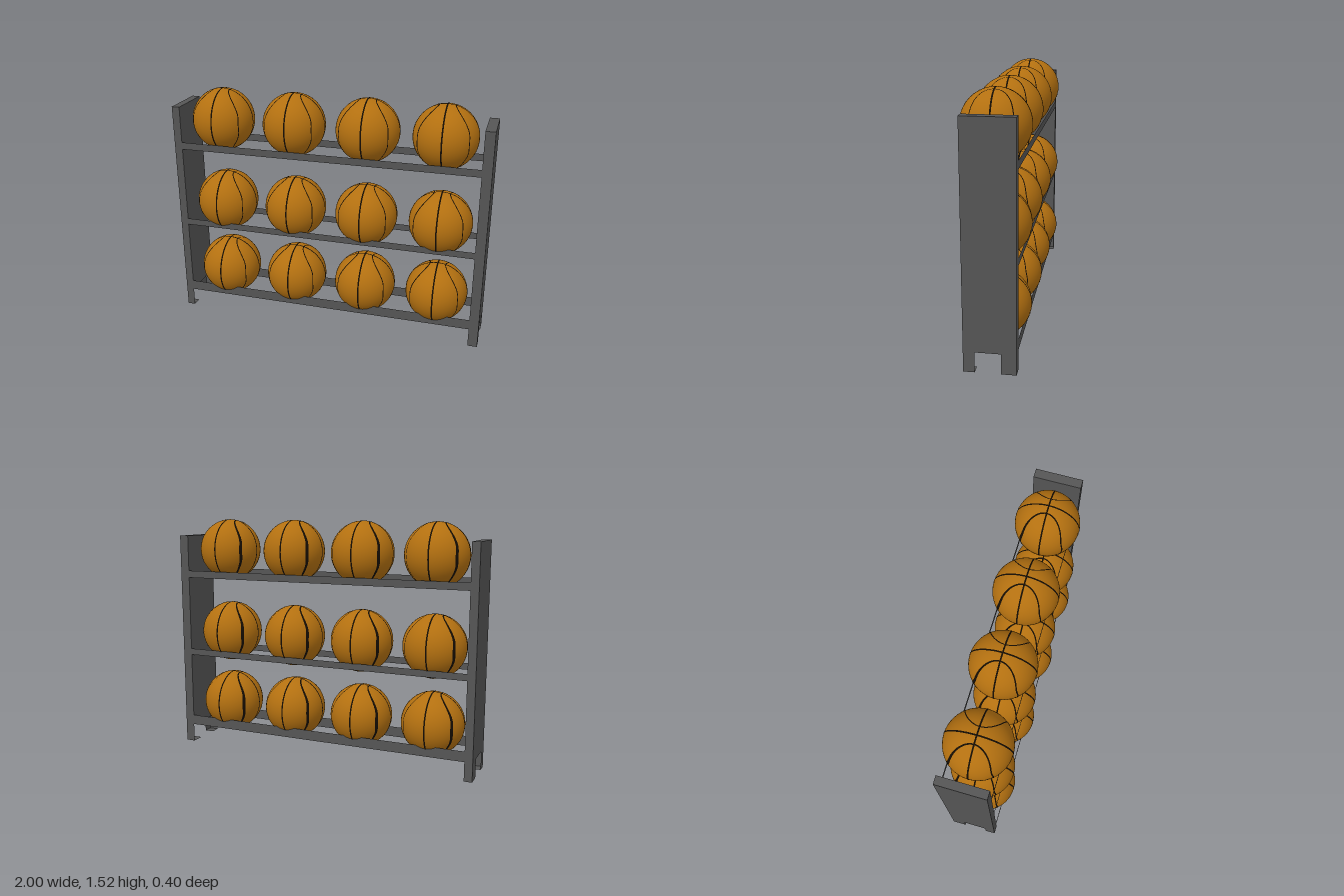
import * as THREE from 'three';

const R = 0.197;
const Z0 = -0.155, Z1 = 0.14; // rack depth
const LEG = 0.12; // leg height

const steel = new THREE.MeshStandardMaterial({ color: 0x555555, side: THREE.DoubleSide });
const leather = new THREE.MeshStandardMaterial({ color: 0xb37010 });
const seamMat = new THREE.MeshStandardMaterial({ color: 0x140c02, side: THREE.DoubleSide });

function add(parent, name, geometry, material) {
  const mesh = new THREE.Mesh(geometry, material);
  mesh.name = name;
  parent.add(mesh);
  return mesh;
}

function box(parent, name, x0, x1, y0, y1, z0, z1) {
  const m = add(parent, name, new THREE.BoxGeometry(x1 - x0, y1 - y0, z1 - z0), steel);
  m.position.set((x0 + x1) / 2, (y0 + y1) / 2, (z0 + z1) / 2);
}

// Thin ribbon lying on the ball; dirAt(t) gives a unit direction, widthAt(t) its width
function seamRibbon(dirAt, widthAt) {
  const n = 96, pos = [], nor = [], index = [];
  for (let i = 0; i <= n; i++) {
    const t = (i / n) * Math.PI * 2;
    const d = dirAt(t);
    const tangent = dirAt(t + 0.01).sub(dirAt(t - 0.01)).normalize();
    const side = d.clone().cross(tangent).normalize();
    for (const s of [-0.5, 0.5]) {
      const p = d.clone().multiplyScalar(R).addScaledVector(side, s * widthAt(t));
      p.setLength(R + 0.0007);
      pos.push(p.x, p.y, p.z);
      nor.push(d.x, d.y, d.z);
    }
    if (i < n) {
      const a = i * 2;
      index.push(a, a + 2, a + 1, a + 1, a + 2, a + 3);
    }
  }
  const g = new THREE.BufferGeometry();
  g.setAttribute('position', new THREE.Float32BufferAttribute(pos, 3));
  g.setAttribute('normal', new THREE.Float32BufferAttribute(nor, 3));
  g.setIndex(index);
  return g;
}

// Side seam: loop around the +x or -x pole that dips towards the top and bottom of the ball
function sideLoop(sign) {
  return (t) => {
    const x = 0.76 - 0.51 * Math.cos(t) ** 4;
    const r = Math.sqrt(1 - x * x);
    return new THREE.Vector3(sign * x, r * Math.cos(t), r * Math.sin(t));
  };
}

// Side panel with two hollow legs, open on the inside
function sidePanel(name, inner, outer) {
  const g = new THREE.Group();
  g.name = name;
  const x0 = Math.min(inner, outer), x1 = Math.max(inner, outer);
  const w = x1 - x0, mid = (x0 + x1) / 2;
  box(g, 'panel', x0, x1, LEG, 1.41, Z0, Z1);
  for (const [za, zb, edge] of [[0.076, Z1, Z1], [Z0, -0.07, Z0]]) {
    const depth = zb - za, zc = (za + zb) / 2;
    const face = add(g, 'legEndFace', new THREE.PlaneGeometry(w, LEG), steel);
    face.position.set(mid, LEG / 2, edge);
    if (edge < 0) face.rotation.y = Math.PI;
    const side = add(g, 'legOuterFace', new THREE.PlaneGeometry(depth, LEG), steel);
    side.position.set(outer, LEG / 2, zc);
    side.rotation.y = Math.sign(outer) * Math.PI / 2;
    const foot = add(g, 'foot', new THREE.PlaneGeometry(w, depth), steel);
    foot.position.set(mid, 0, zc);
    foot.rotation.x = Math.PI / 2;
  }
  return g;
}

export function createModel() {
  const model = new THREE.Group();
  model.name = 'ballRack';

  model.add(sidePanel('leftSide', 0.94, 1), sidePanel('rightSide', -0.95, -1));

  // Sheet rails, front and back of each shelf
  for (const [y0, y1] of [[0.12, 0.185], [0.61, 0.652], [1.134, 1.18]]) {
    for (const z of [Z0, Z1]) {
      const rail = add(model, z > 0 ? 'frontRail' : 'backRail', new THREE.PlaneGeometry(1.89, y1 - y0), steel);
      rail.position.set(-0.005, (y0 + y1) / 2, z);
      if (z < 0) rail.rotation.y = Math.PI;
    }
  }

  // Shared ball geometry
  const sphere = new THREE.SphereGeometry(R, 48, 32);
  const thin = () => 0.009;
  const wideAtBack = (t) => 0.008 + 0.012 * Math.max(0, -Math.sin(t)) ** 2;
  const seams = [
    seamRibbon((t) => new THREE.Vector3(0, Math.cos(t), Math.sin(t)), thin),
    seamRibbon((t) => new THREE.Vector3(Math.sin(t), Math.cos(t), 0), thin),
    seamRibbon(sideLoop(1), () => 0.006),
    seamRibbon(sideLoop(-1), wideAtBack),
  ];

  // Three rows of four balls
  for (const y of [0.289, 0.77, 1.319]) {
    for (const x of [-0.711, -0.238, 0.233, 0.706]) {
      const ball = new THREE.Group();
      ball.name = 'ball';
      ball.position.set(x, y, 0);
      add(ball, 'ballSkin', sphere, leather);
      for (const s of seams) add(ball, 'seam', s, seamMat);
      model.add(ball);
    }
  }
  return model;
}
